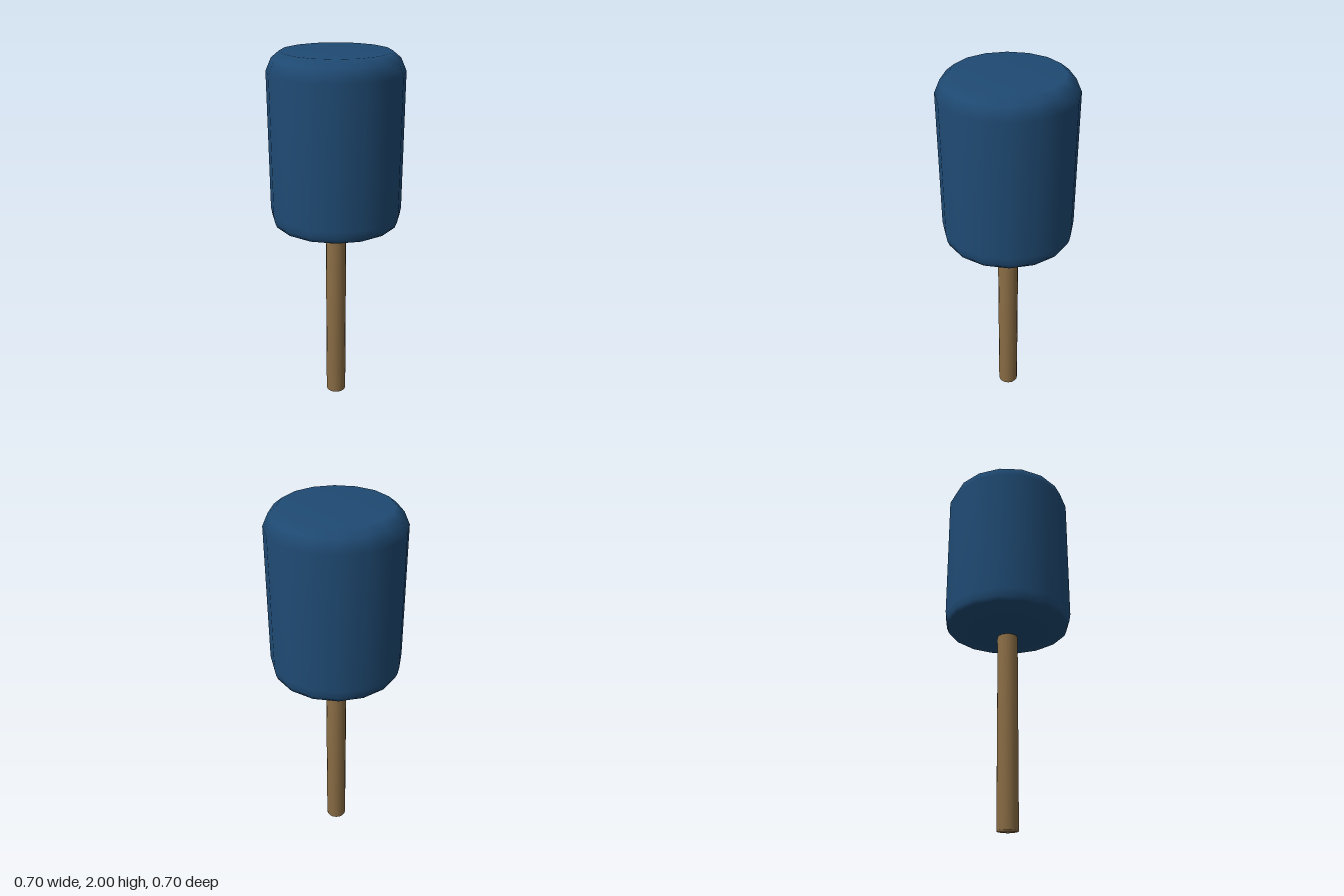
import * as THREE from 'three';

// Smooth 16-sided turned solid from a profile of [radius, height], bottom to top
function turned(name, profile, color) {
  const points = profile.map(([r, y]) => new THREE.Vector2(r, y));
  const mesh = new THREE.Mesh(
    new THREE.LatheGeometry(points, 16),
    new THREE.MeshStandardMaterial({ color })
  );
  mesh.name = name;
  return mesh;
}

export function createModel() {
  const group = new THREE.Group();
  group.name = 'mallet';

  // Slim wooden handle, running a little way into the head
  group.add(turned('handle', [[0, 0], [0.056, 0], [0.056, 1.1], [0, 1.1]], 0x8a6d45));

  // Head: shallow cone underneath, straight wall, rounded shoulder, flat top
  group.add(turned('head', [
    [0, 1.05], [0.09, 1.05], [0.335, 1.105], [0.345, 1.13], [0.352, 1.17],
    [0.352, 1.9], [0.323, 1.965], [0.28, 2], [0, 2],
  ], 0x1f4a73));

  return group;
}
